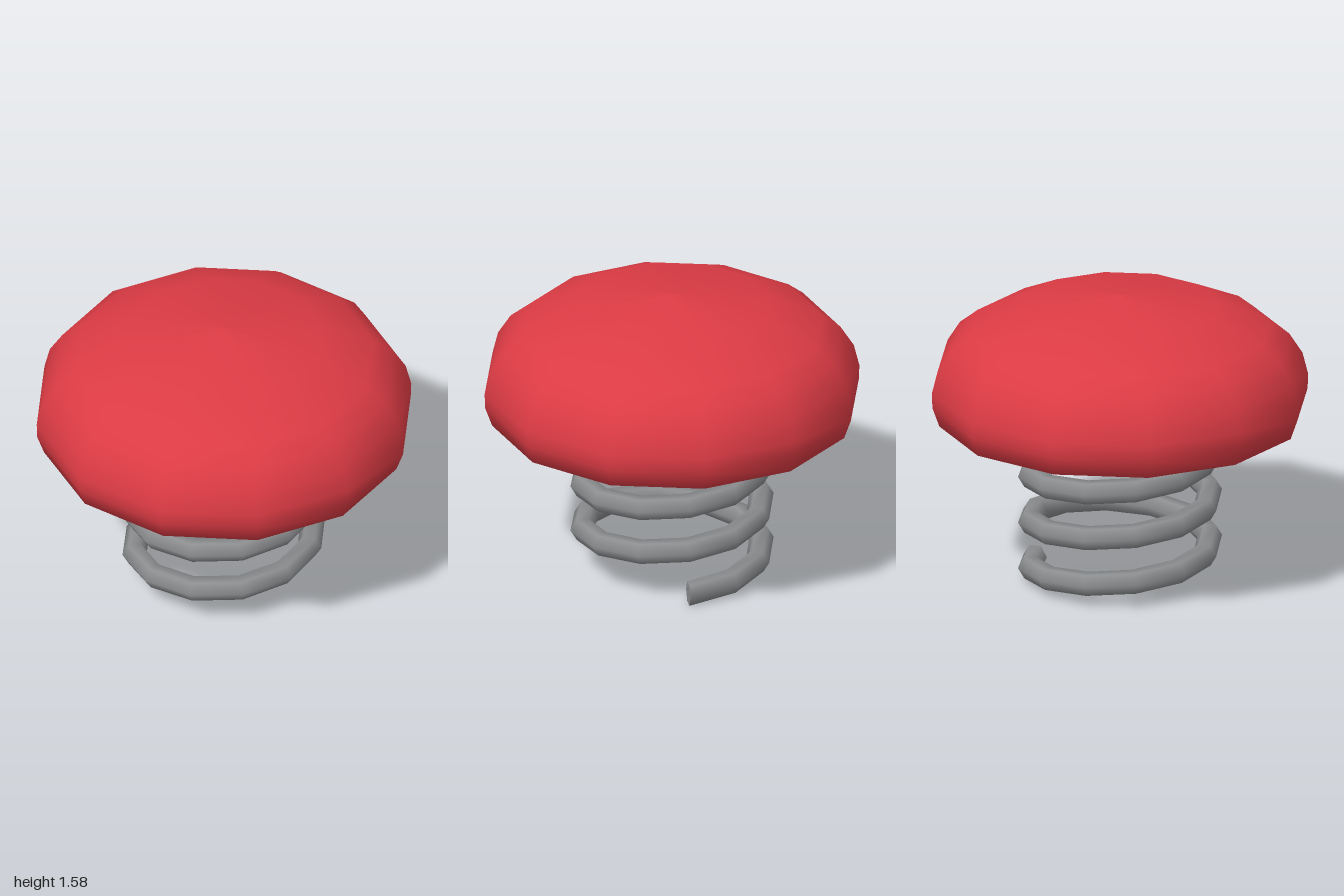
import * as THREE from 'three';

const COIL_R = 0.477, TUBE_R = 0.065, PITCH = 0.255, START_Y = 0.06;
const STEPS_PER_TURN = 12, STEPS = 45, SIDES = 6;

// Hexagonal section swept along a rising helix, smooth along its length
function coilGeometry() {
  const pos = [], index = [];
  const slope = Math.atan(PITCH / (2 * Math.PI * COIL_R));
  const sectionPoint = (i, j) => {
    const t = (i / STEPS_PER_TURN) * Math.PI * 2;
    const a = (j / SIDES) * Math.PI * 2;
    const radial = new THREE.Vector3(Math.cos(t), 0, -Math.sin(t));
    const along = new THREE.Vector3(-Math.sin(t), 0, -Math.cos(t));
    // Section plane leans with the slope of the helix, except at the square cut start
    const lean = i === 0 ? 0 : slope;
    const up = new THREE.Vector3(0, Math.cos(lean), 0).addScaledVector(along, -Math.sin(lean));
    return radial.clone().multiplyScalar(COIL_R + TUBE_R * Math.cos(a))
      .addScaledVector(up, TUBE_R * Math.sin(a))
      .add(new THREE.Vector3(0, START_Y + (PITCH * i) / STEPS_PER_TURN, 0));
  };
  for (let i = 0; i <= STEPS; i++) {
    for (let j = 0; j < SIDES; j++) pos.push(...sectionPoint(i, j).toArray());
  }
  for (let i = 0; i < STEPS; i++) {
    for (let j = 0; j < SIDES; j++) {
      const k = (j + 1) % SIDES;
      const a = i * SIDES + j, b = i * SIDES + k;
      const c = a + SIDES, d = b + SIDES;
      index.push(a, c, b, b, c, d);
    }
  }
  // Flat cut ends with their own vertices
  for (const [i, flip] of [[0, false], [STEPS, true]]) {
    const base = pos.length / 3;
    for (let j = 0; j < SIDES; j++) pos.push(...sectionPoint(i, j).toArray());
    for (let j = 1; j < SIDES - 1; j++) {
      if (flip) index.push(base, base + j + 1, base + j);
      else index.push(base, base + j, base + j + 1);
    }
  }
  const g = new THREE.BufferGeometry();
  g.setAttribute('position', new THREE.Float32BufferAttribute(pos, 3));
  g.setIndex(index);
  g.computeVertexNormals();
  return g;
}

export function createModel() {
  const red = new THREE.MeshStandardMaterial({ color: 0xdc3b44 });
  red.name = 'red';
  const grey = new THREE.MeshStandardMaterial({ color: 0x8c8d8f });
  grey.name = 'grey';

  const model = new THREE.Group();
  model.name = 'springBumper';

  // Twelve-sided domed cap, with a shallow hollow underneath
  const profile = [
    [0, 1.03], [0.45, 1.0], [0.62, 0.93], [0.75, 0.858],
    [0.96, 0.895], [0.997, 1.0], [1.0, 1.08], [0.97, 1.2],
    [0.9, 1.31], [0.8, 1.39], [0.525, 1.517], [0, 1.58],
  ].map(([r, y]) => new THREE.Vector2(r, y));
  const cap = new THREE.Mesh(new THREE.LatheGeometry(profile, 12), red);
  cap.name = 'cap';
  model.add(cap);

  // Coil spring, its upper end buried in the cap
  const spring = new THREE.Mesh(coilGeometry(), grey);
  spring.name = 'spring';
  model.add(spring);

  return model;
}
